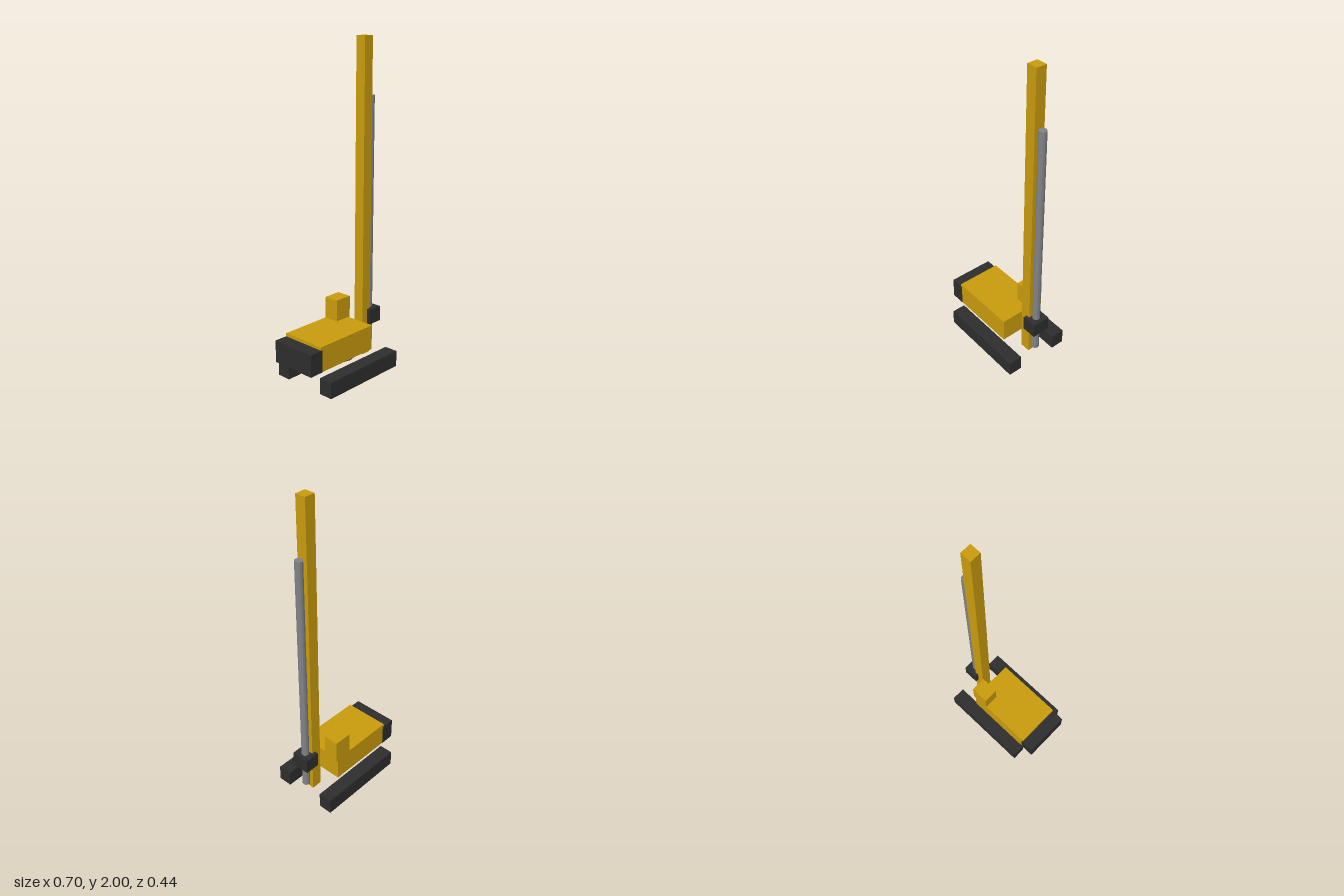
import * as THREE from 'three';

const material = (name, color) => {
  const m = new THREE.MeshStandardMaterial({ color });
  m.name = name;
  return m;
};

export function createModel() {
  const model = new THREE.Group();
  model.name = 'drillingRig';
  const yellow = material('machineYellow', 0xc89b0c);
  const dark = material('darkRubber', 0x2d2d2d);
  const steel = material('steelGrey', 0x7f8287);
  steel.flatShading = true;
  dark.flatShading = true;

  const add = (name, geometry, mat, x, y, z) => {
    const mesh = new THREE.Mesh(geometry, mat);
    mesh.name = name;
    mesh.position.set(x, y, z);
    model.add(mesh);
  };
  // Box given by its limits on each axis
  const box = (name, mat, [x0, x1], [y0, y1], [z0, z1]) =>
    add(name, new THREE.BoxGeometry(x1 - x0, y1 - y0, z1 - z0), mat,
      (x0 + x1) / 2, (y0 + y1) / 2, (z0 + z1) / 2);
  // Upright cylinder between two heights
  const post = (name, mat, radius, sides, x, y0, y1) =>
    add(name, new THREE.CylinderGeometry(radius, radius, y1 - y0, sides), mat, x, (y0 + y1) / 2, 0);

  // Crawler tracks
  box('leftTrack', dark, [-0.263, 0.32], [0, 0.1], [0.131, 0.219]);
  box('rightTrack', dark, [-0.263, 0.32], [0, 0.1], [-0.219, -0.131]);

  // Slewing ring and upper body
  post('turntable', dark, 0.098, 16, 0.027, 0.1, 0.142);
  box('body', yellow, [-0.267, 0.17], [0.14, 0.295], [-0.145, 0.145]);
  box('counterweight', dark, [-0.35, -0.258], [0.139, 0.275], [-0.146, 0.146]);
  box('cab', yellow, [0.068, 0.184], [0.281, 0.43], [-0.146, -0.05]);

  // Mast with drill string and rotary drive
  box('mast', yellow, [0.21, 0.277], [0.055, 2], [-0.033, 0.033]);
  post('drillRod', steel, 0.024, 12, 0.302, 0.1, 1.66);
  box('rotaryDrive', dark, [0.253, 0.349], [0.25, 0.345], [-0.057, 0.057]);

  return model;
}
